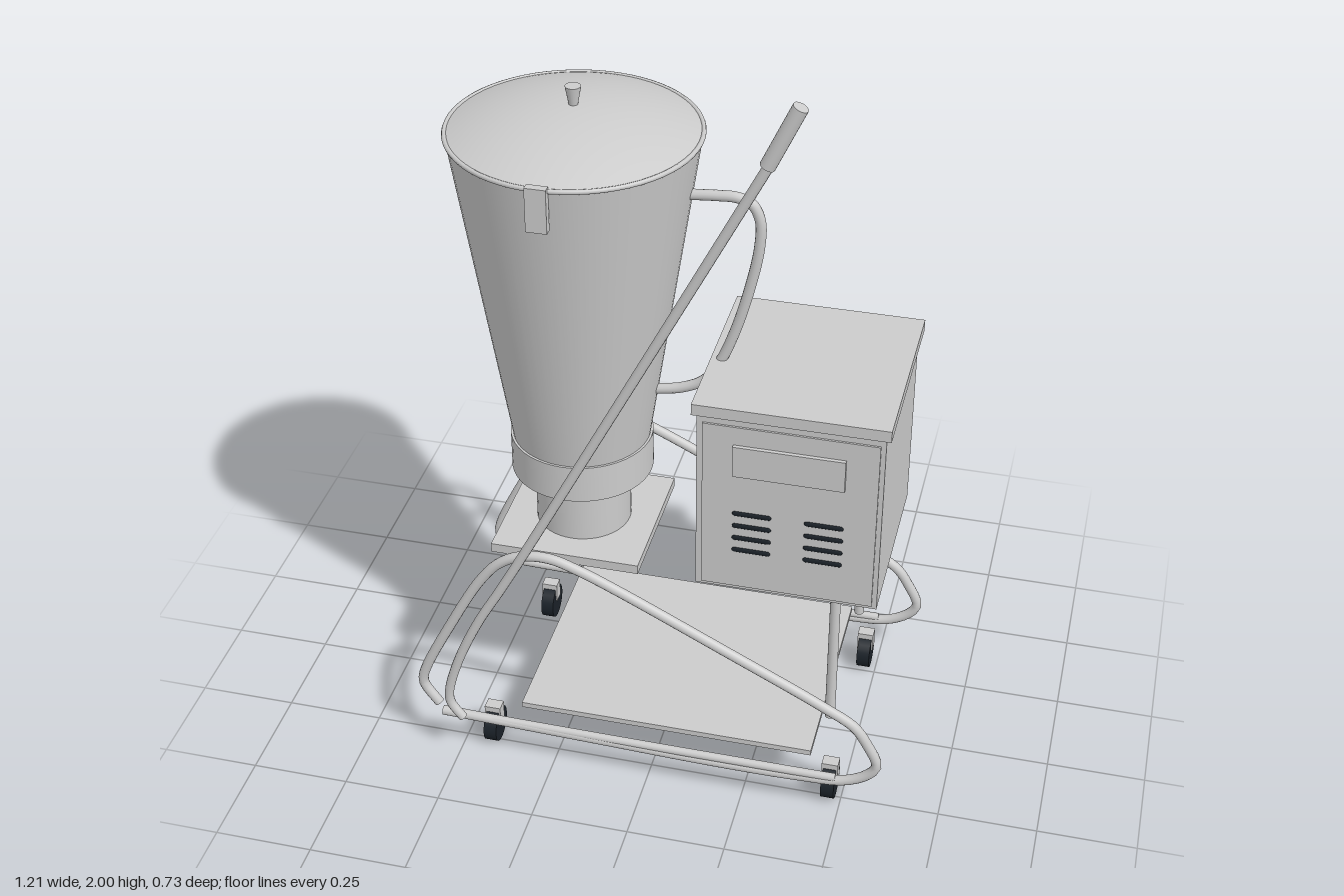
import * as THREE from 'three';

const grey = new THREE.MeshStandardMaterial({ color: 0xcccccc });
const greyThin = new THREE.MeshStandardMaterial({ color: 0xcccccc, side: THREE.DoubleSide });
const black = new THREE.MeshStandardMaterial({ color: 0x1b2229 });

export function createModel() {
  const model = new THREE.Group();
  model.name = 'tiltingBlender';

  const add = (name, geometry, x, y, z, material = grey, parent = model) => {
    const mesh = new THREE.Mesh(geometry, material);
    mesh.name = name;
    mesh.position.set(x, y, z);
    parent.add(mesh);
    return mesh;
  };
  // Box given by its lower and upper corners
  const box = (name, [x0, y0, z0], [x1, y1, z1], material) =>
    add(name, new THREE.BoxGeometry(x1 - x0, y1 - y0, z1 - z0),
      (x0 + x1) / 2, (y0 + y1) / 2, (z0 + z1) / 2, material);
  // Bent bar through points in the xy plane, with closed ends
  const bar = (name, points, z, radius) => {
    const group = new THREE.Group();
    group.name = name;
    model.add(group);
    const path = new THREE.CatmullRomCurve3(points.map(([x, y]) => new THREE.Vector3(x, y, 0)), false, 'centripetal');
    add(name + 'Tube', new THREE.TubeGeometry(path, 160, radius, 12), 0, 0, z, grey, group);
    for (const t of [0, 1]) {
      const p = path.getPoint(t);
      const cap = add(name + 'End', new THREE.CircleGeometry(radius, 12), p.x, p.y, z, grey, group);
      const out = path.getTangent(t).multiplyScalar(t ? 1 : -1);
      cap.quaternion.setFromUnitVectors(new THREE.Vector3(0, 0, 1), out);
    }
  };

  // Tapered jar with collar, neck and support plate
  const jx = -0.235, jz = 0.01;
  add('jar', new THREE.CylinderGeometry(0.298, 0.172, 0.83, 64, 1, true), jx, 1.285, jz, greyThin);
  add('jarCollar', new THREE.CylinderGeometry(0.178, 0.178, 0.1, 48), jx, 0.82, jz);
  add('jarNeck', new THREE.CylinderGeometry(0.12, 0.12, 0.17, 48), jx, 0.69, jz);
  box('jarPlate', [-0.425, 0.585, -0.18], [-0.045, 0.61, 0.2]);

  // Rim, domed lid and knob
  const rim = add('jarRim', new THREE.TorusGeometry(0.298, 0.006, 8, 64), jx, 1.7, jz);
  rim.rotation.x = Math.PI / 2;
  const dome = [];
  for (let i = 0; i <= 12; i++) {
    const r = 0.3 * (1 - i / 12);
    dome.push(new THREE.Vector2(r, 1.7 + 0.065 * (1 - (r / 0.3) ** 2)));
  }
  add('lid', new THREE.LatheGeometry(dome, 64), jx, 0, jz, greyThin);
  add('lidKnob', new THREE.CylinderGeometry(0.019, 0.01, 0.05, 20), jx, 1.785, jz);

  // Front clip and jar handle
  box('lidClip', [-0.26, 1.6, 0.303], [-0.21, 1.71, 0.323]);
  box('clipHook', [-0.25, 1.65, 0.26], [-0.22, 1.69, 0.31]);
  bar('jarHandle', [[0.02, 1.565], [0.1, 1.572], [0.15, 1.573], [0.185, 1.56], [0.205, 1.52], [0.205, 1.45],
    [0.185, 1.34], [0.15, 1.21], [0.115, 1.12], [0.075, 1.06], [0.02, 1.03], [-0.05, 1.015]], jz, 0.013);

  // Tilting lever with grip
  bar('lever', [[-0.475, 0.147], [-0.505, 0.19], [-0.508, 0.225], [-0.48, 0.33], [-0.42, 0.47],
    [-0.36, 0.58], [-0.32, 0.655], [-0.015, 1.25], [0.29, 1.85], [0.31, 1.89]], 0.345, 0.012);
  const a = new THREE.Vector3(0.285, 1.845, 0.345), b = new THREE.Vector3(0.352, 1.991, 0.345);
  const axis = b.clone().sub(a);
  const mid = a.clone().add(b).multiplyScalar(0.5);
  const grip = add('leverGrip', new THREE.CylinderGeometry(0.018, 0.018, axis.length(), 20), mid.x, mid.y, mid.z);
  grip.quaternion.setFromUnitVectors(new THREE.Vector3(0, 1, 0), axis.normalize());

  // Two bent side frames with their floor rails
  const frame = [[-0.555, 0.143], [-0.592, 0.2], [-0.592, 0.23], [-0.5, 0.43], [-0.42, 0.575], [-0.37, 0.635],
    [-0.31, 0.667], [-0.24, 0.672], [-0.17, 0.65], [-0.08, 0.61], [0.2, 0.469], [0.45, 0.34], [0.53, 0.291],
    [0.565, 0.24], [0.592, 0.175], [0.57, 0.14], [0.51, 0.108], [0.4, 0.099], [0.2, 0.097], [-0.15, 0.106],
    [-0.545, 0.117]];
  for (const [side, z] of [['front', 0.3], ['rear', -0.35]]) {
    bar(side + 'SideFrame', frame, z, 0.013);
    bar(side + 'FloorRail', [[-0.545, 0.117], [0, 0.113], [0.49, 0.112]], z, 0.011);
  }

  // Tray between the frames
  box('tray', [-0.34, 0.145, -0.32], [0.42, 0.16, 0.27]);

  // Motor cabinet: body, lid, door, label plate and vents
  box('cabinet', [0.105, 0.6, -0.264], [0.555, 1.1, 0.212]);
  box('cabinetLid', [0.093, 1.1, -0.278], [0.567, 1.13, 0.22]);
  box('cabinetDoor', [0.12, 0.61, 0.2], [0.543, 1.08, 0.217]);
  box('labelPlate', [0.195, 0.945, 0.21], [0.465, 1.03, 0.227]);
  for (const x of [0.243, 0.418]) {
    for (const y of [0.722, 0.758, 0.794, 0.83]) {
      const slot = new THREE.CapsuleGeometry(0.007, 0.082, 4, 8);
      slot.rotateZ(Math.PI / 2).scale(1, 1, 0.4);
      add('ventSlot', slot, x, y, 0.217, black);
    }
  }
  for (const z of [0.193, -0.23]) {
    add('cabinetLeg', new THREE.CylinderGeometry(0.013, 0.013, 0.38, 16), 0.452, 0.41, z);
  }

  // Casters
  for (const x of [-0.427, 0.468]) {
    for (const z of [0.24, -0.285]) {
      const caster = new THREE.Group();
      caster.name = 'caster';
      caster.position.set(x, 0, z);
      model.add(caster);
      const wheel = add('wheel', new THREE.CylinderGeometry(0.047, 0.047, 0.034, 28), 0, 0.047, 0, black, caster);
      wheel.rotation.z = Math.PI / 2;
      add('forkTop', new THREE.BoxGeometry(0.042, 0.016, 0.032), 0, 0.103, 0, grey, caster);
      for (const s of [-1, 1]) {
        add('forkSide', new THREE.BoxGeometry(0.004, 0.05, 0.032), s * 0.019, 0.083, 0, grey, caster);
      }
    }
  }
  return model;
}
